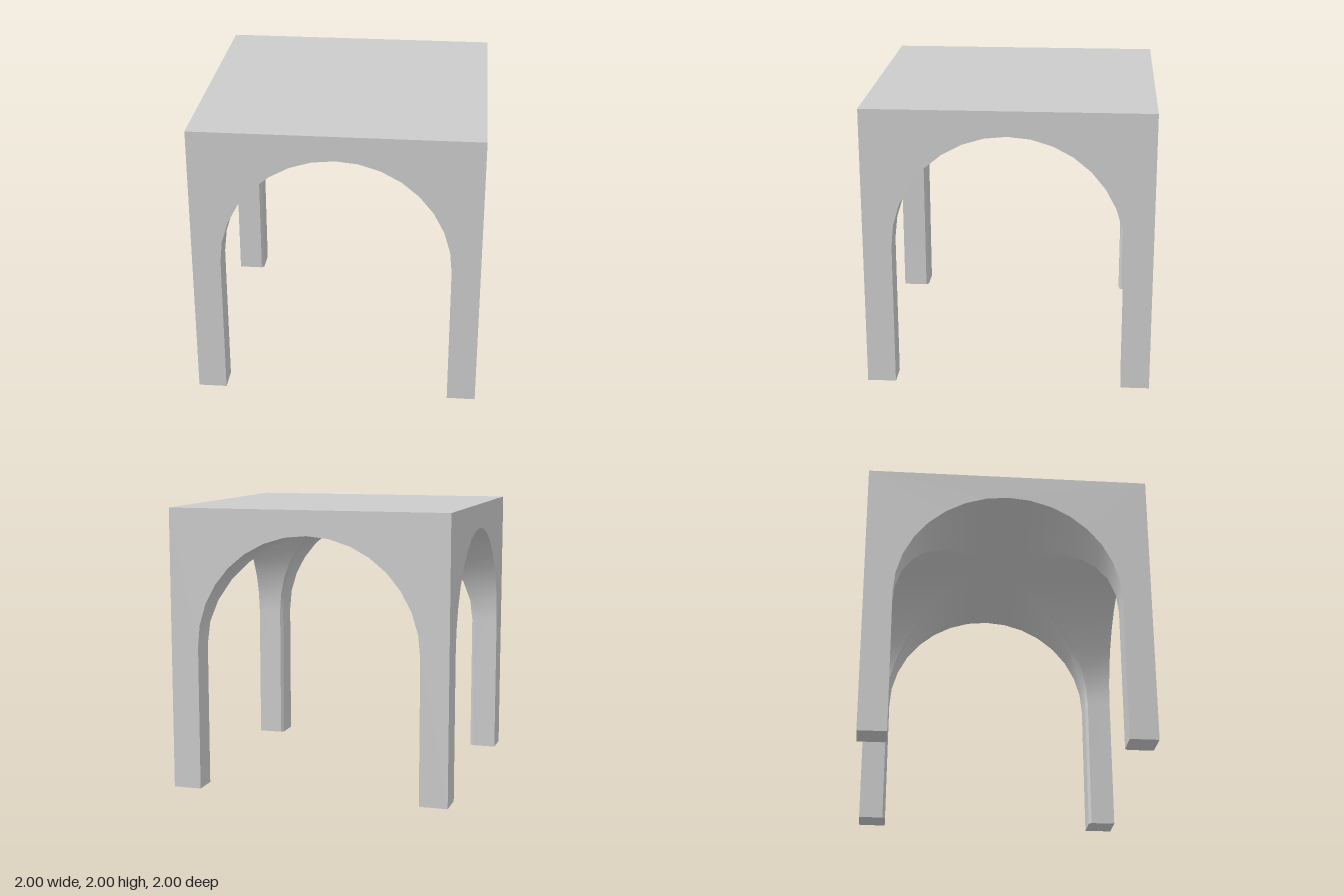
import * as THREE from 'three';

const R = 0.8;         // arch radius
const SPRING = 1.025;  // height where the arch starts
const SEGMENTS = 16;
const CHAMFER = 0.02;  // cut on the inner corner of the legs, fading to nothing at the crown

const material = new THREE.MeshStandardMaterial({ color: 0xcccccc });

// Arch outline from the +x foot over the crown to the -x foot
function archProfile() {
  const points = [new THREE.Vector2(R, 0)];
  for (let i = 0; i <= SEGMENTS; i++) {
    const a = (i / SEGMENTS) * Math.PI;
    points.push(new THREE.Vector2(R * Math.cos(a), SPRING + R * Math.sin(a)));
  }
  points.push(new THREE.Vector2(-R, 0));
  return points;
}

// Surface between two rails with the same number of points
function strip(railA, railB, diagonalStep = 1) {
  const positions = [];
  const index = [];
  railA.forEach((a, i) => {
    positions.push(...a, ...railB[i]);
    if (i === 0) return;
    const a0 = 2 * i - 2, b0 = a0 + 1, a1 = a0 + 2, b1 = a0 + 3;
    index.push(a0, a1, b0, b0, a1, b1);
  });
  const geometry = new THREE.BufferGeometry();
  geometry.setAttribute('position', new THREE.Float32BufferAttribute(positions, 3));
  geometry.setIndex(index);
  geometry.computeVertexNormals();
  return geometry;
}

function part(name, geometry) {
  const mesh = new THREE.Mesh(geometry, material);
  mesh.name = name;
  return mesh;
}

export function createModel() {
  const model = new THREE.Group();
  model.name = 'vaultedCanopy';
  const profile = archProfile();
  const cut = (u) => (CHAMFER * Math.abs(u)) / R;

  // Outer wall with its arched opening
  const wall = new THREE.ShapeGeometry(new THREE.Shape([
    new THREE.Vector2(-1, 0), ...[...profile].reverse(),
    new THREE.Vector2(1, 0), new THREE.Vector2(1, 2), new THREE.Vector2(-1, 2),
  ]));
  wall.translate(0, 0, 1);

  // Barrel soffit and leg sides, from the wall in to the diagonal groins
  const soffit = strip(
    profile.map((p) => [p.x, p.y, 1]),
    profile.map((p) => [p.x, p.y, Math.abs(p.x) + cut(p.x)]),
  );

  // Narrow chamfer running up the leg corner and along the groin
  const half = profile.slice(0, SEGMENTS / 2 + 2);
  const groin = strip(
    half.map((p) => [p.x, p.y, p.x + cut(p.x)]),
    half.map((p) => [p.x + cut(p.x), p.y, p.x]),
  );

  // Underside of one leg
  const foot = new THREE.ShapeGeometry(new THREE.Shape([
    new THREE.Vector2(R + CHAMFER, R), new THREE.Vector2(1, R), new THREE.Vector2(1, 1),
    new THREE.Vector2(R, 1), new THREE.Vector2(R, R + CHAMFER),
  ]));
  foot.rotateX(Math.PI / 2);

  // Four identical bays around the centre
  ['front', 'left', 'back', 'right'].forEach((side, i) => {
    const bay = new THREE.Group();
    bay.name = side + 'Bay';
    bay.add(
      part(side + 'ArchWall', wall),
      part(side + 'Soffit', soffit),
      part(side + 'GroinChamfer', groin),
      part(side + 'LegFoot', foot),
    );
    bay.rotation.y = (i * Math.PI) / 2;
    model.add(bay);
  });

  // Flat roof
  const roof = new THREE.PlaneGeometry(2, 2);
  roof.rotateX(-Math.PI / 2);
  roof.translate(0, 2, 0);
  model.add(part('roof', roof));

  return model;
}
